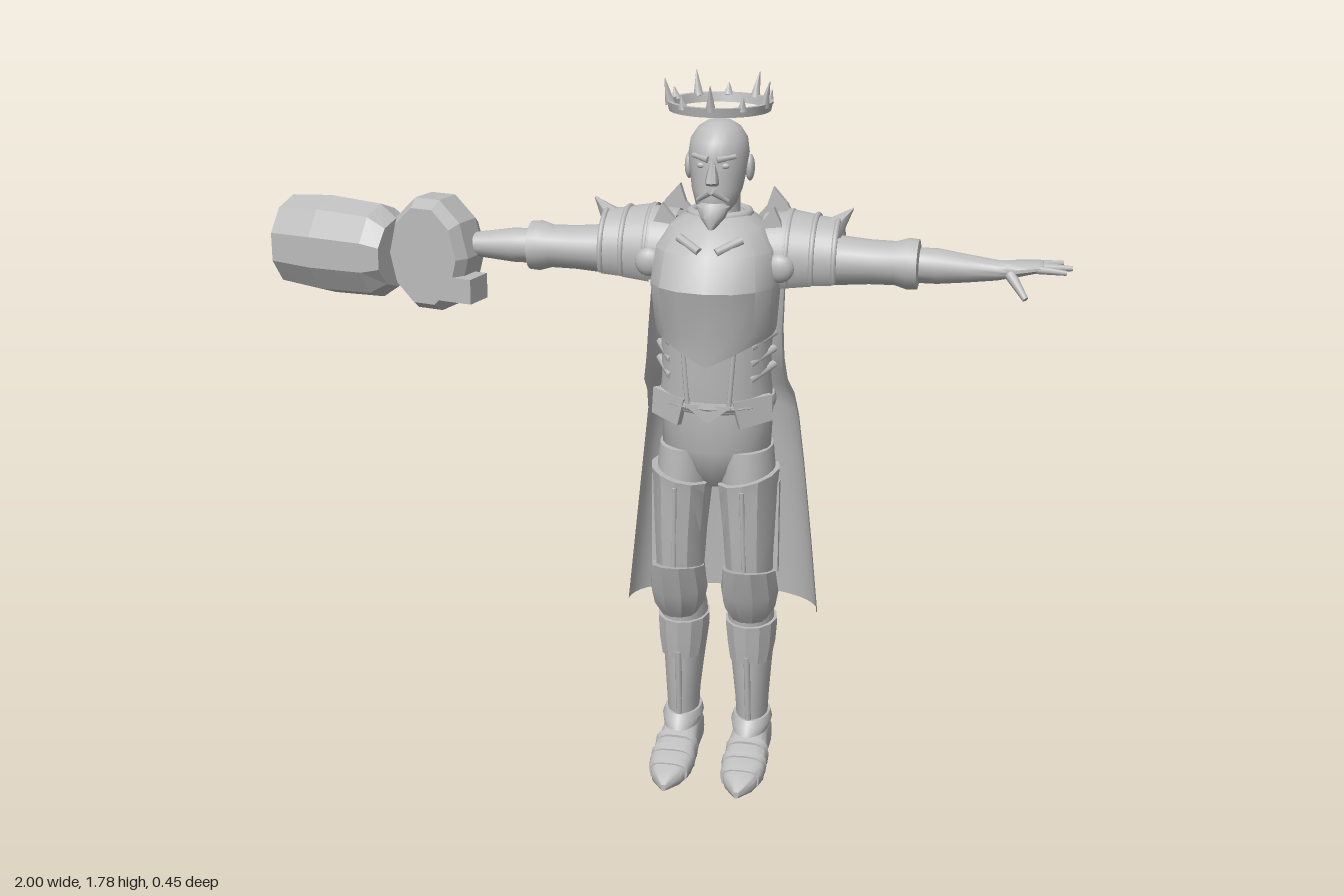
import * as THREE from 'three';
import { toCreasedNormals } from 'three/addons/utils/BufferGeometryUtils.js';

const steel = new THREE.MeshStandardMaterial({ color: 0xbcbcbc, side: THREE.DoubleSide });
steel.name = 'plainGrey';

// Closed loft of superellipse rings [y, centreX, radiusX, zFront, zBack], y ascending
function loft(rings, { sides = 24, crease = 0.7, pow = 1, rule = null } = {}) {
  const pos = [], idx = [], n = sides;
  const shape = v => Math.sign(v) * Math.abs(v) ** pow;
  for (const [y, cx, rx, zf, zb] of rings) {
    for (let i = 0; i < n; i++) {
      const a = (i / n) * Math.PI * 2;
      const p = [cx + rx * shape(Math.cos(a)), y, (zf + zb) / 2 + ((zf - zb) / 2) * shape(Math.sin(a))];
      pos.push(...(rule ? rule(p) : p));
    }
  }
  for (let r = 0; r < rings.length - 1; r++) {
    for (let i = 0; i < n; i++) {
      const a = r * n + i, b = r * n + (i + 1) % n;
      idx.push(a, a + n, b, b, a + n, b + n);
    }
  }
  const first = rings[0], last = rings[rings.length - 1], c = pos.length / 3, top = (rings.length - 1) * n;
  for (const [y, cx, , zf, zb] of [first, last]) pos.push(cx, y, (zf + zb) / 2);
  for (let i = 0; i < n; i++) {
    const j = (i + 1) % n;
    idx.push(c, i, j, c + 1, top + j, top + i);
  }
  const g = new THREE.BufferGeometry();
  g.setAttribute('position', new THREE.Float32BufferAttribute(pos, 3));
  g.setIndex(idx);
  return toCreasedNormals(g, crease);
}
// Round limb along +x from [x, y, radiusY, radiusZ, z]
const limb = (rings, opt) =>
  loft(rings.map(([x, y, ry, rz, z]) => [x, -y, ry, z + rz, z - rz]), opt).rotateZ(-Math.PI / 2);
// Loft along +z from [z, x, radiusX, yBottom, yTop]
const lengthwise = (rings, opt) =>
  loft(rings.map(([z, x, rx, b, t]) => [z, x, rx, -b, -t]), opt).rotateX(Math.PI / 2);

function plate(points, depth = 0.012) {
  const s = new THREE.Shape(points.map(p => new THREE.Vector2(...p)));
  return new THREE.ExtrudeGeometry(s, { depth, bevelEnabled: false });
}
const box = (w, h, d, x, y, z) => new THREE.BoxGeometry(w, h, d).translate(x, y, z);
const ball = (rx, ry, rz, x, y, z) => new THREE.SphereGeometry(1, 16, 12).scale(rx, ry, rz).translate(x, y, z);
// Tapered rod between two points
function rod(a, b, r0, r1, sides = 8) {
  const A = new THREE.Vector3(...a), B = new THREE.Vector3(...b), d = B.clone().sub(A);
  const q = new THREE.Quaternion().setFromUnitVectors(new THREE.Vector3(0, 1, 0), d.clone().normalize());
  return new THREE.CylinderGeometry(r1, r0, d.length(), sides).applyQuaternion(q)
    .translate(...A.add(B).multiplyScalar(0.5).toArray());
}
function add(parent, name, geo) {
  const m = new THREE.Mesh(geo, steel);
  m.name = name;
  parent.add(m);
  return m;
}
function mirrored(geo) {
  const g = geo.index ? geo.toNonIndexed() : geo.clone();
  g.scale(-1, 1, 1);
  for (const a of [g.attributes.position, g.attributes.normal]) {
    for (let i = 0; i < a.count; i += 3) {
      const t = [a.getX(i + 1), a.getY(i + 1), a.getZ(i + 1)];
      a.setXYZ(i + 1, a.getX(i + 2), a.getY(i + 2), a.getZ(i + 2));
      a.setXYZ(i + 2, ...t);
    }
  }
  return g;
}
function pair(parent, name, geo) {
  add(parent, name + 'Left', geo);
  add(parent, name + 'Right', mirrored(geo));
}

function buildHead(b) {
  add(b, 'neck', loft([[1.38, 0, 0.06, 0.08, -0.05], [1.45, 0, 0.05, 0.075, -0.035], [1.53, 0, 0.05, 0.08, -0.03]]));
  add(b, 'head', loft([[1.462, 0, 0.024, 0.118, 0.06], [1.485, 0, 0.048, 0.125, 0.01], [1.52, 0, 0.06, 0.125, -0.02],
    [1.56, 0, 0.067, 0.12, -0.042], [1.6, 0, 0.072, 0.121, -0.05], [1.635, 0, 0.067, 0.112, -0.046],
    [1.66, 0, 0.051, 0.09, -0.028], [1.674, 0, 0.03, 0.066, -0.002], [1.68, 0, 0.008, 0.04, 0.025]], { crease: 1.2 }));
  add(b, 'beard', loft([[1.435, 0, 0.008, 0.14, 0.115], [1.46, 0, 0.03, 0.142, 0.08], [1.485, 0, 0.04, 0.136, 0.07],
    [1.495, 0, 0.03, 0.13, 0.08]], { sides: 12 }));
  add(b, 'nose', loft([[1.537, 0, 0.016, 0.132, 0.1], [1.545, 0, 0.017, 0.146, 0.1], [1.595, 0, 0.007, 0.123, 0.1]], { sides: 8 }));
  pair(b, 'moustache', rod([0.002, 1.525, 0.132], [0.036, 1.5, 0.112], 0.009, 0.005));
  pair(b, 'brow', rod([0.01, 1.597, 0.12], [0.05, 1.603, 0.096], 0.008, 0.006));
  pair(b, 'eye', ball(0.011, 0.007, 0.006, 0.028, 1.582, 0.111));
  pair(b, 'ear', ball(0.011, 0.032, 0.019, 0.073, 1.565, 0.025));
  // Floating crown
  const ring = [[0.108, 1.7], [0.12, 1.7], [0.125, 1.722], [0.113, 1.722], [0.108, 1.7]].map(p => new THREE.Vector2(...p));
  add(b, 'crownBand', toCreasedNormals(new THREE.LatheGeometry(ring, 40), 0.6).translate(0, 0, 0.03));
  for (let i = 0; i < 10; i++) {
    const a = (i / 10) * Math.PI * 2 + 0.31, h = i % 2 ? 1.745 : 1.775, r = i % 2 ? 0.123 : 0.13;
    add(b, 'crownSpike', rod([0.116 * Math.cos(a), 1.715, 0.03 + 0.116 * Math.sin(a)],
      [r * Math.cos(a), h, 0.03 + r * Math.sin(a)], 0.013, 0.001, 5));
  }
}

function buildTorso(b) {
  const keel = ([x, y, z]) => [x, y - (z > 0 && y < 1.19 ? 0.06 * Math.max(0, 1 - Math.abs(x) / 0.12) : 0), z];
  add(b, 'breastplate', loft([[1.17, 0, 0.142, 0.182, -0.09], [1.19, 0, 0.147, 0.19, -0.095], [1.3, 0, 0.157, 0.22, -0.1],
    [1.38, 0, 0.148, 0.185, -0.1], [1.43, 0, 0.115, 0.145, -0.09], [1.455, 0, 0.075, 0.1, -0.065]],
    { sides: 16, crease: 0.5, pow: 0.9, rule: keel }));
  add(b, 'gorget', new THREE.TorusGeometry(0.068, 0.013, 8, 28).rotateX(Math.PI / 2).translate(0, 1.452, 0.015));
  add(b, 'abdomen', loft([[0.99, 0, 0.14, 0.15, -0.08], [1.06, 0, 0.132, 0.158, -0.08], [1.2, 0, 0.135, 0.165, -0.09]], { pow: 0.9 }));
  add(b, 'pelvis', loft([[0.775, 0, 0.04, 0.07, -0.04], [0.82, 0, 0.1, 0.105, -0.065], [0.88, 0, 0.135, 0.128, -0.075],
    [1.0, 0, 0.14, 0.13, -0.078]]));
  add(b, 'belt', loft([[0.985, 0, 0.143, 0.148, -0.082], [1.0, 0, 0.148, 0.158, -0.086], [1.015, 0, 0.143, 0.156, -0.082]]));
  add(b, 'beltPoint', plate([[-0.06, 1.01], [0, 0.965], [0.06, 1.01]]).translate(0, 0, 0.143));
  pair(b, 'tasset', plate([[-0.05, 0.025], [0.05, 0.035], [0.055, -0.03], [-0.03, -0.045]], 0.015)
    .rotateY(0.55).translate(0.095, 0.995, 0.11));
  pair(b, 'abdomenSeam', rod([0.05, 1.0, 0.148], [0.062, 1.16, 0.152], 0.006, 0.006));
  for (const y of [1.07, 1.11, 1.15]) {
    pair(b, 'sideStrap', rod([0.095, y, 0.125], [0.14, y + 0.02, 0.04], 0.01, 0.01));
    pair(b, 'backStrap', rod([0.06, y + 0.08, -0.118], [0.12, y + 0.09, -0.088], 0.007, 0.007));
  }
  pair(b, 'cloakPin', rod([0.02, 1.39, 0.175], [0.075, 1.415, 0.14], 0.01, 0.01));
  // Cape: rows of [y, half width, z of front edge, z of back]
  const rows = [[0.4, 0.246, -0.065, -0.215], [0.6, 0.226, -0.065, -0.205], [0.8, 0.205, -0.06, -0.19],
    [0.93, 0.19, -0.05, -0.18], [0.99, 0.184, -0.01, -0.167], [1.04, 0.175, 0.065, -0.147], [1.1, 0.167, 0.075, -0.13],
    [1.18, 0.163, 0.07, -0.12], [1.26, 0.162, 0.045, -0.118], [1.32, 0.158, 0, -0.118], [1.36, 0.13, -0.05, -0.112]];
  const cols = 24, pos = [], idx = [];
  rows.forEach(([y, w, ze, zb], r) => {
    for (let i = 0; i <= cols; i++) {
      const a = (i / cols) * Math.PI;
      pos.push(w * Math.cos(a), y, ze + (zb - ze) * Math.sin(a) ** 0.85);
      const k = r * (cols + 1) + i;
      if (r && i < cols) idx.push(k - cols - 1, k - cols, k, k, k - cols, k + 1);
    }
  });
  const cape = new THREE.BufferGeometry();
  cape.setAttribute('position', new THREE.Float32BufferAttribute(pos, 3));
  cape.setIndex(idx);
  cape.computeVertexNormals();
  add(b, 'cape', cape);
}

function buildArms(b) {
  pair(b, 'sleeve', limb([[0.1, 1.345, 0.075, 0.075, -0.015], [0.25, 1.342, 0.062, 0.07, -0.015], [0.36, 1.342, 0.053, 0.06, -0.013],
    [0.42, 1.342, 0.052, 0.056, -0.012], [0.45, 1.342, 0.061, 0.066, -0.012], [0.474, 1.342, 0.059, 0.064, -0.012],
    [0.478, 1.342, 0.04, 0.045, -0.012]]));
  pair(b, 'forearm', limb([[0.46, 1.34, 0.042, 0.046, -0.012], [0.52, 1.34, 0.042, 0.044, -0.012],
    [0.59, 1.338, 0.033, 0.036, -0.012], [0.66, 1.338, 0.024, 0.028, -0.01], [0.69, 1.342, 0.021, 0.03, -0.01]]));
  // Open left hand
  add(b, 'palm', limb([[0.675, 1.341, 0.021, 0.029, -0.01], [0.71, 1.344, 0.019, 0.038, -0.014],
    [0.755, 1.35, 0.014, 0.04, -0.02], [0.765, 1.35, 0.01, 0.038, -0.02]], { sides: 14 }));
  [0.81, 0.828, 0.833, 0.82].forEach((x, i) => {
    const z = -0.05 + i * 0.02;
    add(b, 'finger', rod([0.752, 1.348, z], [x, 1.35 - (i % 2) * 0.006, z * 1.25], 0.01, 0.006));
  });
  add(b, 'thumb', rod([0.69, 1.335, 0.012], [0.73, 1.286, 0.052], 0.014, 0.007));
  // Layered shoulder armour, open below
  const bands = [[0.105, 0.17, 0.1, 0.106], [0.16, 0.23, 0.112, 0.1], [0.215, 0.282, 0.1, 0.093]];
  for (const [x0, x1, r0, r1] of bands) {
    pair(b, 'pauldronBand', new THREE.CylinderGeometry(r1, r0, x1 - x0, 24, 1, true, -Math.PI * 1.18, Math.PI * 1.36)
      .rotateZ(-Math.PI / 2).translate((x0 + x1) / 2, 1.348, -0.015));
    pair(b, 'pauldronRim', new THREE.TorusGeometry(r1, 0.007, 6, 28, Math.PI * 1.3)
      .rotateZ(-Math.PI * 0.15).rotateY(Math.PI / 2).translate(x1, 1.348, -0.015));
  }
  pair(b, 'outerSpike', rod([0.262, 1.41, -0.015], [0.315, 1.468, -0.02], 0.035, 0.002, 6));
  pair(b, 'neckGuard', plate([[0.07, 1.42], [0.17, 1.42], [0.15, 1.46], [0.115, 1.5], [0.1, 1.455]], 0.02).translate(0, 0, -0.085));
  pair(b, 'frontGuard', plate([[0.09, 1.42], [0.16, 1.42], [0.135, 1.475]], 0.02).translate(0, 0, 0.03));
  pair(b, 'frontBoss', ball(0.035, 0.035, 0.022, 0.157, 1.34, 0.09));
  pair(b, 'backBoss', ball(0.035, 0.035, 0.022, 0.157, 1.34, -0.115));
}

function buildLegs(b) {
  pair(b, 'thigh', loft([[0.48, 0.088, 0.05, 0.1, -0.045], [0.6, 0.088, 0.057, 0.115, -0.055], [0.75, 0.083, 0.07, 0.125, -0.065],
    [0.88, 0.075, 0.065, 0.12, -0.07]]));
  const rise = ([x, y, z]) => [x, y + (y > 0.77 ? (x - 0.08) * 0.25 : 0), z];
  pair(b, 'thighPlate', loft([[0.55, 0.088, 0.06, 0.122, -0.052], [0.66, 0.086, 0.066, 0.135, -0.058], [0.78, 0.083, 0.074, 0.142, -0.062],
    [0.805, 0.083, 0.077, 0.146, -0.064]], { sides: 12, crease: 0.45, rule: rise }));
  pair(b, 'thighRidge', rod([0.088, 0.57, 0.122], [0.083, 0.79, 0.142], 0.006, 0.006));
  pair(b, 'thighStrip', box(0.012, 0.24, 0.02, 0.154, 0.67, 0.035));
  const peak = ([x, y, z]) => [x, y + (y > 0.53 && z > 0.04 ? (z - 0.04) * 0.25 : 0), z];
  pair(b, 'kneePlate', loft([[0.425, 0.09, 0.045, 0.09, 0.0], [0.46, 0.09, 0.066, 0.115, -0.025], [0.5, 0.09, 0.073, 0.135, -0.05],
    [0.555, 0.09, 0.066, 0.165, -0.055]], { sides: 10, crease: 0.4, rule: peak }));
  pair(b, 'shin', loft([[0.09, 0.09, 0.038, 0.03, -0.085], [0.18, 0.09, 0.042, 0.045, -0.09], [0.27, 0.088, 0.05, 0.052, -0.1],
    [0.36, 0.086, 0.06, 0.058, -0.105], [0.43, 0.086, 0.057, 0.07, -0.085], [0.5, 0.088, 0.048, 0.075, -0.055]]));
  pair(b, 'greave', loft([[0.3, 0.088, 0.054, 0.062, -0.06], [0.345, 0.088, 0.062, 0.07, -0.085], [0.39, 0.087, 0.066, 0.075, -0.095],
    [0.405, 0.087, 0.066, 0.077, -0.095]], { sides: 12, crease: 0.4 }));
  pair(b, 'shinRidge', rod([0.09, 0.13, 0.035], [0.088, 0.32, 0.06], 0.008, 0.008));
  pair(b, 'ankleBand', loft([[0.1, 0.09, 0.046, 0.07, -0.092], [0.118, 0.09, 0.052, 0.06, -0.1], [0.135, 0.09, 0.046, 0.045, -0.097]]));
  // Pointed plated shoe
  pair(b, 'shoe', lengthwise([[-0.09, 0.09, 0.032, 0.004, 0.085], [-0.075, 0.09, 0.045, 0, 0.105], [0, 0.09, 0.047, 0, 0.115],
    [0.07, 0.092, 0.054, 0, 0.085], [0.13, 0.093, 0.055, 0, 0.063], [0.18, 0.093, 0.038, 0, 0.045], [0.22, 0.093, 0.006, 0.005, 0.022]],
    { sides: 20, pow: 0.65 }));
  for (const [z, r, h] of [[0.055, 0.056, 0.098], [0.1, 0.058, 0.08], [0.145, 0.053, 0.063]]) {
    pair(b, 'shoePlate', lengthwise([[z, 0.092, r, 0.002, h], [z + 0.018, 0.092, r - 0.004, 0.002, h - 0.008]], { sides: 16, pow: 0.7 }));
  }
}

// Faceted drum and disc at the end of the right arm
function buildHammer(root) {
  const facets = { sides: 10, crease: 0.05 };
  const drum = add(root, 'hammerDrum', limb([[0, 0, 0.117, 0.106, 0], [0.12, 0, 0.127, 0.112, 0], [0.27, 0, 0.12, 0.103, 0],
    [0.317, 0, 0.088, 0.09, 0]], facets));
  drum.position.set(-0.972, 1.297, -0.13);
  drum.rotation.y = -0.272;
  const disc = new THREE.Group();
  disc.name = 'hammerDisc';
  disc.position.set(-0.55, 1.315, -0.01);
  disc.rotation.y = -0.25;
  add(disc, 'discBody', lengthwise([[-0.07, 0, 0.095, -0.115, 0.115], [-0.035, 0, 0.112, -0.146, 0.146],
    [0.04, 0, 0.112, -0.146, 0.146], [0.07, 0, 0.095, -0.125, 0.125]], facets));
  add(disc, 'discBlock', box(0.09, 0.062, 0.08, 0.09, -0.075, 0.03));
  root.add(disc);
}

export function createModel() {
  const root = new THREE.Group();
  root.name = 'armouredKing';
  const body = new THREE.Group();
  body.name = 'body';
  body.position.x = 0.167;
  root.add(body);
  for (const build of [buildHead, buildTorso, buildArms, buildLegs]) build(body);
  buildHammer(root);
  return root;
}
